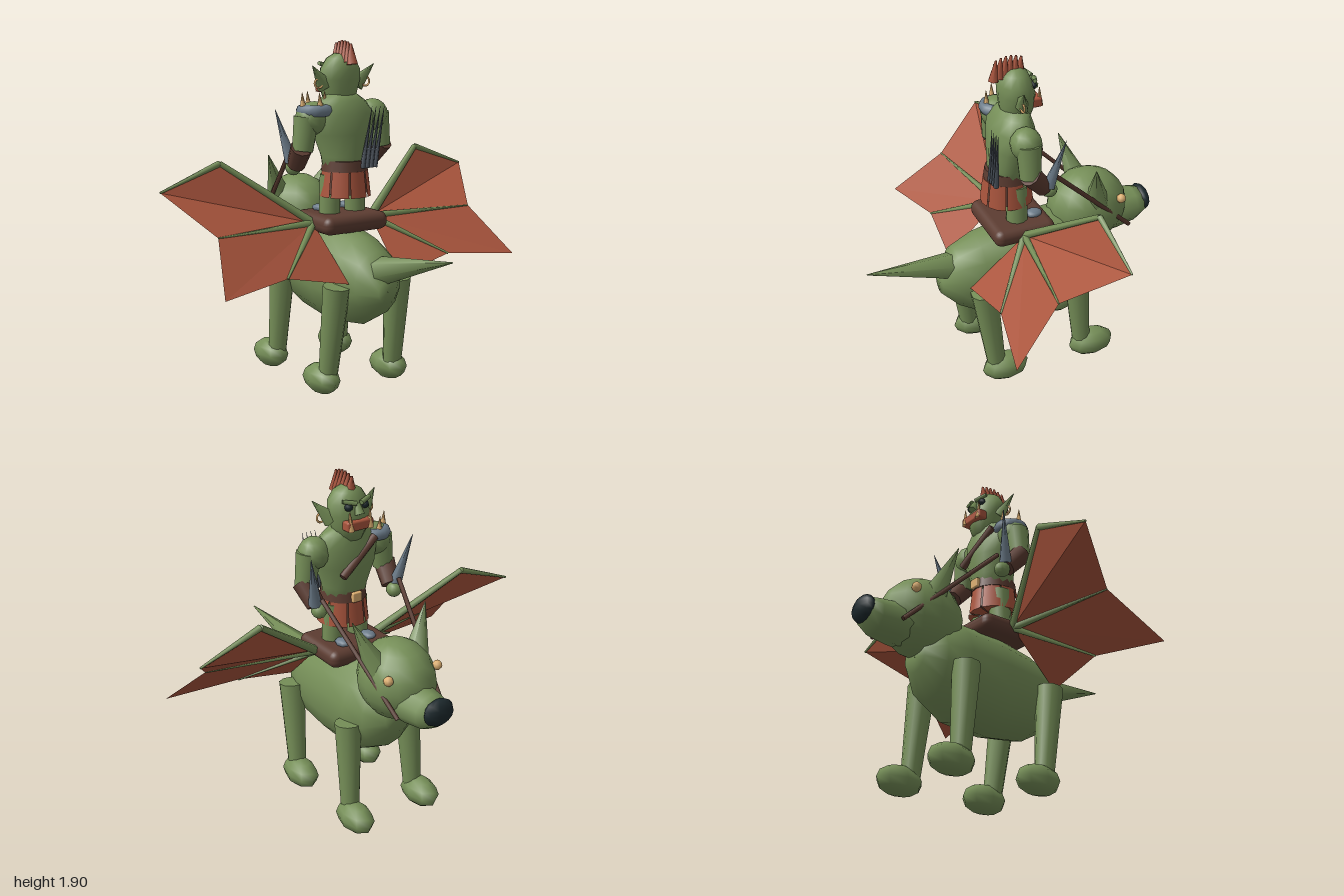
import * as THREE from 'three';
import { mergeVertices } from 'three/addons/utils/BufferGeometryUtils.js';
import { RoundedBoxGeometry } from 'three/addons/geometries/RoundedBoxGeometry.js';

const paint = (name, color, side = THREE.FrontSide) =>
  Object.assign(new THREE.MeshStandardMaterial({ color, side }), { name });
const V = (p) => new THREE.Vector3(...p);

export function createModel() {
  const root = new THREE.Group();
  root.name = 'wingedBeastAndRider';
  const green = paint('green skin', 0x768f58);
  const red = paint('rust red', 0xaa553d);
  const membrane = paint('wing red', 0xaa553d, THREE.DoubleSide);
  const brown = paint('brown leather', 0x5c3c31);
  const steel = paint('steel', 0x6c7c8a);
  const blade = paint('dark steel', 0x4c545e);
  const bone = paint('bone', 0xdcae70);
  const black = paint('black', 0x1d292d);

  const add = (name, geo, mat, pos = [0, 0, 0], parent = root) => {
    const m = new THREE.Mesh(geo, mat);
    m.name = name;
    m.position.set(...pos);
    parent.add(m);
    return m;
  };
  // Ellipsoid
  const blob = (name, mat, pos, [rx, ry, rz], w = 12, h = 8) =>
    add(name, new THREE.SphereGeometry(1, w, h).scale(rx, ry, rz), mat, pos);
  // Tapered rod from a to b
  const rod = (name, mat, a, b, ra, rb, seg = 8) => {
    const d = V(b).sub(V(a));
    const m = add(name, new THREE.CylinderGeometry(rb, ra, d.length(), seg), mat);
    m.position.copy(V(a)).addScaledVector(d, 0.5);
    m.quaternion.setFromUnitVectors(new THREE.Vector3(0, 1, 0), d.normalize());
    return m;
  };
  // Smooth skin through elliptical rows [height, depth offset, rx, rz], highest first
  const loft = (name, mat, rows, alongZ = false, seg = 14) => {
    const first = rows[0], last = rows[rows.length - 1];
    const all = [[first[0], first[1], 0.002, 0.002], ...rows, [last[0], last[1], 0.002, 0.002]];
    let geo = new THREE.CylinderGeometry(1, 1, 1, seg, all.length - 1, true);
    const p = geo.attributes.position;
    for (let i = 0; i < p.count; i++) {
      const [y, c, rx, rz] = all[Math.floor(i / (seg + 1))];
      p.setXYZ(i, p.getX(i) * rx, y, c + p.getZ(i) * rz);
    }
    geo.deleteAttribute('uv');
    geo.deleteAttribute('normal');
    geo = mergeVertices(geo);
    if (alongZ) geo.rotateX(Math.PI / 2);
    geo.computeVertexNormals();
    return add(name, geo, mat);
  };

  // Beast: body, head, muzzle, nose and tail
  loft('beastBody', green, [
    [0.43, -0.6, 0.06, 0.06], [0.34, -0.625, 0.15, 0.18], [0.21, -0.615, 0.195, 0.245],
    [-0.02, -0.625, 0.21, 0.285], [-0.27, -0.645, 0.21, 0.275], [-0.41, -0.665, 0.18, 0.21],
    [-0.5, -0.675, 0.09, 0.085],
  ], true);
  blob('beastHead', green, [0, 0.9, -0.47], [0.2, 0.22, 0.235], 14, 10);
  loft('muzzle', green, [
    [-0.5, -0.84, 0.15, 0.13], [-0.64, -0.825, 0.13, 0.11],
    [-0.76, -0.83, 0.105, 0.1], [-0.82, -0.845, 0.085, 0.075],
  ], true, 10);
  blob('nose', black, [0, 0.855, -0.82], [0.093, 0.075, 0.045], 10, 8);
  rod('tail', green, [0, 0.7, 0.36], [0.08, 0.835, 0.86], 0.08, 0.003, 6);

  for (const s of [-1, 1]) {
    // Beast legs and feet
    for (const [top, low, foot, n] of [[0.245, 0.18, 0.13, 'rear'], [-0.315, -0.36, -0.42, 'front']]) {
      rod(n + 'Leg', green, [s * 0.2, 0.62, top], [s * 0.215, 0.1, low], 0.075, 0.052, 10);
      blob(n + 'Foot', green, [s * 0.225, 0.082, foot], [0.085, 0.082, 0.14], 8, 6);
    }
    // Beast ears, eyes and reins
    rod('beastEar', green, [s * 0.125, 0.99, -0.47], [s * 0.235, 1.25, -0.4], 0.072, 0.002, 6);
    blob('beastEye', bone, [s * 0.158, 0.985, -0.608], [0.027, 0.027, 0.027], 8, 6);
    rod('rein', brown, [s * 0.25, 1.29, -0.15], [s * 0.145, 0.79, -0.675], 0.013, 0.013, 6);

    // Wing: fan membrane with finger bones
    const hub = [s * 0.19, 0.92, 0.0], elbow = [s * 0.65, 1.26, -0.2], tip = [s * 0.995, 1.135, -0.2];
    const notch = [s * 0.82, 0.93, 0.1], low = [s * 0.93, 0.68, 0.375];
    const finger = [s * 0.525, 0.715, 0.285], hem = [s * 0.165, 0.64, 0.31];
    const rim = [elbow, tip, notch, low, finger, hem];
    const pts = [];
    for (let i = 0; i < rim.length - 1; i++) {
      pts.push(...hub, ...(s > 0 ? [...rim[i + 1], ...rim[i]] : [...rim[i], ...rim[i + 1]]));
    }
    const wing = new THREE.BufferGeometry();
    wing.setAttribute('position', new THREE.Float32BufferAttribute(pts, 3));
    wing.computeVertexNormals();
    add('wingMembrane', wing, membrane);
    rod('wingArm', green, hub, elbow, 0.024, 0.016, 6);
    rod('wingTipBone', green, elbow, tip, 0.018, 0.006, 6);
    rod('wingFinger', green, hub, notch, 0.022, 0.004, 6);
    rod('wingFinger', green, hub, finger, 0.022, 0.006, 6);

    // Rider legs with steel toe caps
    rod('riderLeg', green, [s * 0.078, 1.18, 0], [s * 0.085, 0.95, 0], 0.06, 0.06, 10);
    blob('toeCap', steel, [s * 0.085, 0.98, -0.1], [0.04, 0.022, 0.05], 8, 6);

    // Rider arms, bracers, hands and daggers
    blob('shoulder', green, [s * 0.2, 1.49, 0], [0.088, 0.09, 0.085]);
    rod('upperArm', green, [s * 0.23, 1.5, 0], [s * 0.255, 1.32, 0], 0.07, 0.058, 10);
    rod('bracer', brown, [s * 0.265, 1.34, 0.005], [s * 0.245, 1.235, -0.085], 0.06, 0.05, 10);
    blob('hand', green, [s * 0.245, 1.215, -0.115], [0.043, 0.042, 0.045], 10, 8);
    rod('dagger', steel, [s * 0.262, 1.25, -0.105], [s * 0.325, 1.535, -0.168], 0.036, 0.001, 6);

    // Rider ears, earrings, eyes, brows and tusks
    const ear = rod('riderEar', green, [s * 0.1, 1.66, -0.02], [s * 0.198, 1.77, 0.012], 0.05, 0.002, 6);
    ear.scale.z = 0.7;
    add('earring', new THREE.TorusGeometry(0.025, 0.006, 6, 14), bone, [s * 0.152, 1.675, 0]);
    blob('riderEye', black, [s * 0.05, 1.74, -0.105], [0.025, 0.022, 0.02], 8, 6);
    rod('brow', green, [s * 0.015, 1.76, -0.125], [s * 0.085, 1.775, -0.1], 0.014, 0.012, 6);
    rod('tusk', bone, [s * 0.06, 1.62, -0.14], [s * 0.064, 1.725, -0.135], 0.019, 0.002, 6);
  }

  // Saddle
  add('saddle', new RoundedBoxGeometry(0.41, 0.1, 0.355, 3, 0.045), brown, [0, 0.92, -0.012]);

  // Rider torso and head
  loft('riderTorso', green, [
    [1.62, -0.02, 0.085, 0.07], [1.58, -0.01, 0.14, 0.085], [1.51, 0, 0.2, 0.115],
    [1.4, 0, 0.175, 0.125], [1.28, 0.01, 0.13, 0.115], [1.16, 0.02, 0.115, 0.11],
  ]);
  loft('riderHead', green, [
    [1.83, -0.02, 0.035, 0.035], [1.805, -0.02, 0.08, 0.07], [1.75, -0.022, 0.115, 0.092],
    [1.69, -0.03, 0.12, 0.098], [1.62, -0.035, 0.1, 0.095], [1.55, -0.03, 0.08, 0.075],
  ]);
  rod('riderNose', green, [0, 1.755, -0.11], [0, 1.7, -0.135], 0.014, 0.026, 6);
  add('mouth', new RoundedBoxGeometry(0.165, 0.055, 0.06, 2, 0.012), red, [0, 1.645, -0.118]);

  // Mohawk
  for (let i = 0; i < 6; i++) {
    const t = i / 5;
    rod('mohawkTuft', red, [0, 1.775 + 0.03 * Math.sin(t * 2), 0.095 - 0.145 * t],
      [0, 1.885 + 0.015 * Math.sin(t * Math.PI), 0.08 - 0.14 * t], 0.03, 0.006, 6);
  }

  // Belt, buckle and skirt
  add('belt', new THREE.CylinderGeometry(0.122, 0.13, 0.06, 16), brown, [0, 1.23, 0.02]);
  add('buckle', new RoundedBoxGeometry(0.06, 0.055, 0.025, 2, 0.006), bone, [0, 1.23, -0.11]);
  add('skirtLining', new THREE.CylinderGeometry(0.115, 0.128, 0.12, 16), brown, [0, 1.14, 0.022]);
  for (let i = 0; i < 8; i++) {
    const panel = new THREE.CylinderGeometry(0.128, 0.145, 0.14, 2, 1, false, -0.36, 0.72);
    add('skirtPanel', panel, red, [0, 1.133, 0.024]).rotation.y = (i * Math.PI) / 4;
  }

  // Spiked shoulder pad
  add('shoulderPad', new THREE.TorusGeometry(0.066, 0.034, 8, 18).rotateX(Math.PI / 2), steel, [-0.18, 1.532, 0]);
  blob('shoulderDome', green, [-0.18, 1.54, 0], [0.068, 0.042, 0.068]);
  for (const [x, z] of [[-0.25, 0], [-0.18, 0.06], [-0.18, -0.06], [-0.11, 0]]) {
    rod('padSpike', bone, [x, 1.55, z], [x - 0.006, 1.632, z], 0.018, 0.001, 6);
  }

  // Chest strap and blades on the back
  rod('chestStrap', brown, [-0.13, 1.54, -0.09], [0.1, 1.37, -0.125], 0.022, 0.022, 8);
  for (let i = 0; i < 4; i++) {
    rod('backBlade', blade, [0.04 + i * 0.027, 1.22, 0.135], [0.095 + i * 0.027, 1.55, 0.145], 0.016, 0.001, 5);
  }
  return root;
}
